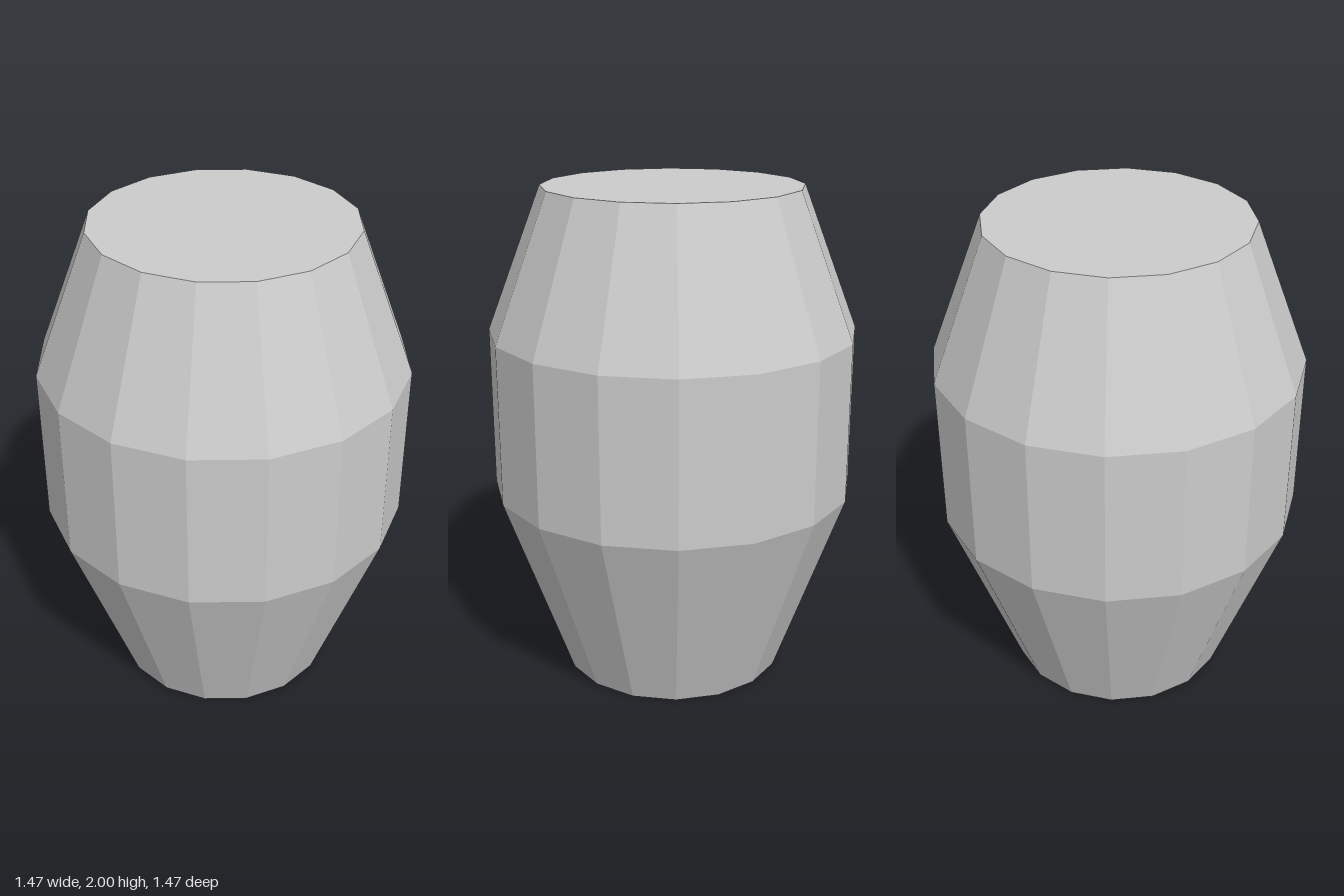
import * as THREE from 'three';

const SIDES = 16;

export function createModel() {
  const model = new THREE.Group();
  const material = new THREE.MeshStandardMaterial({ color: 0xcccccc, flatShading: true });

  // Turns a list of [radius, height] points into a faceted part
  const addTurned = (name, profile) => {
    const points = profile.map(([r, y]) => new THREE.Vector2(r, y));
    const mesh = new THREE.Mesh(new THREE.LatheGeometry(points, SIDES), material);
    mesh.name = name;
    model.add(mesh);
  };

  // Outer wall: tapered foot, straight belly, tapered shoulder
  addTurned('barrelWall', [[0.455, 0], [0.735, 0.785], [0.735, 1.43], [0.515, 2]]);
  // Flat lid
  addTurned('lid', [[0.515, 2], [0, 2]]);
  // Conical hollow in the underside, facing down
  addTurned('baseHollow', [[0, 0.78], [0.455, 0]]);

  return model;
}
